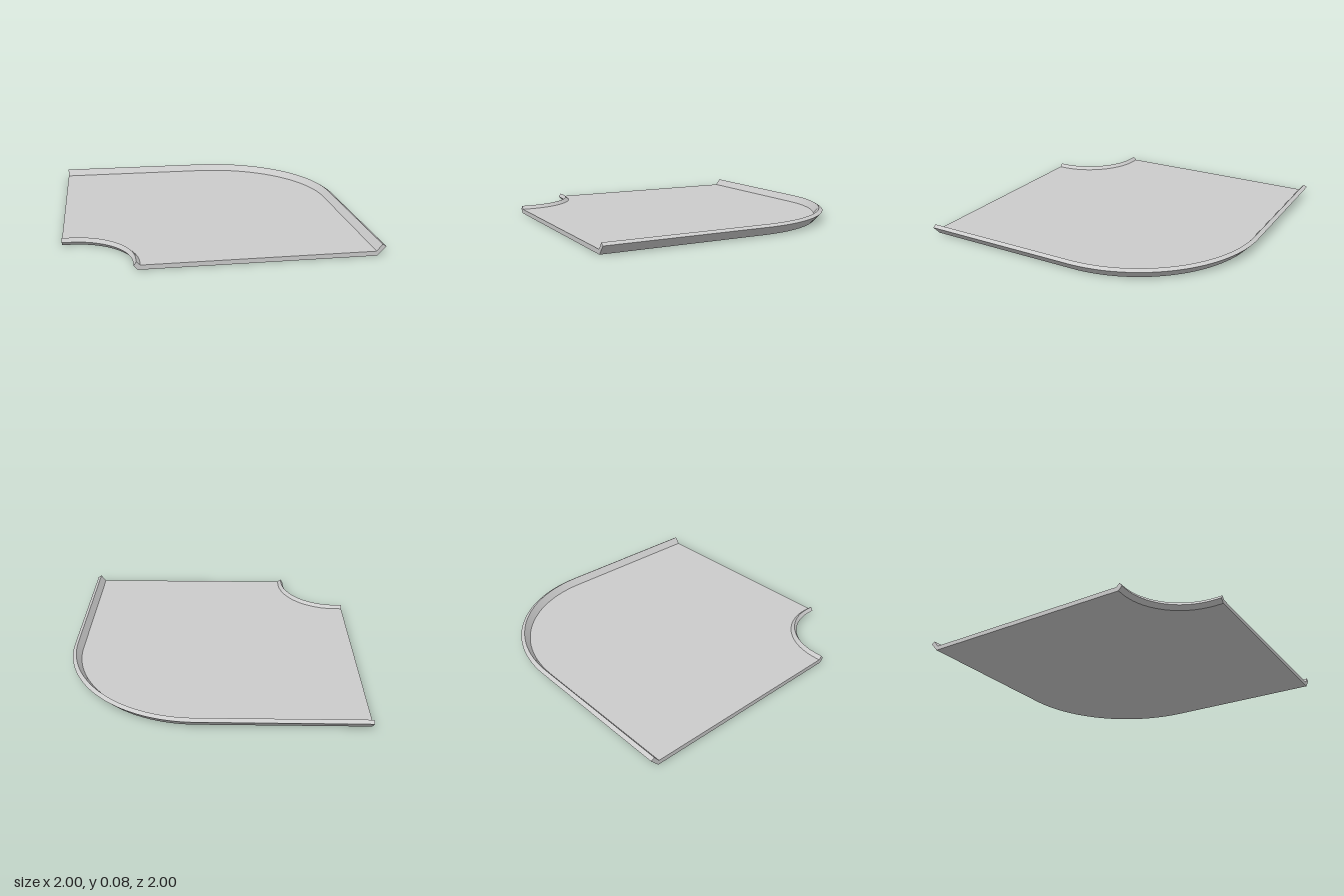
import * as THREE from 'three';

const STEPS = 32;
const material = new THREE.MeshStandardMaterial({ color: 0xcccccc });

// Cross-section as [distance from centre, height, corner centre]
const inner = [[-0.54, 0], [-0.565, 0.027], [-0.548, 0.052], [-0.525, 0.03]].map(p => [...p, -0.95]);
const outer = [[0.94, 0.03], [0.975, 0.075], [1, 0.06], [0.945, 0]].map(p => [...p, 0.1]);

// Straight run, quarter turn, straight run
function cornerPath([d, y, c]) {
  const points = [[-1, y, -d]];
  for (let i = 0; i <= STEPS; i++) {
    const t = (i / STEPS) * Math.PI / 2;
    points.push([c + (d - c) * Math.sin(t), y, -c - (d - c) * Math.cos(t)]);
  }
  points.push([d, y, 1]);
  return points;
}

// Ruled surfaces between neighbouring section points, creased at each one
function sweep(name, section) {
  const positions = [], index = [];
  for (let j = 0; j < section.length - 1; j++) {
    const a = cornerPath(section[j]), b = cornerPath(section[j + 1]);
    const base = positions.length / 3;
    a.forEach((p, i) => positions.push(...p, ...b[i]));
    for (let i = 0; i < a.length - 1; i++) {
      const k = base + i * 2;
      index.push(k, k + 2, k + 1, k + 1, k + 2, k + 3);
    }
  }
  const geometry = new THREE.BufferGeometry();
  geometry.setAttribute('position', new THREE.Float32BufferAttribute(positions, 3));
  geometry.setIndex(index);
  geometry.computeVertexNormals();
  return part(name, geometry);
}

function part(name, geometry) {
  const mesh = new THREE.Mesh(geometry, material);
  mesh.name = name;
  return mesh;
}

// Flat cut face with the full cross-section
function endFace(name, sign) {
  const points = [...inner, ...outer].map(([d, y]) => new THREE.Vector2(sign * d, y));
  return part(name, new THREE.ShapeGeometry(new THREE.Shape(points)));
}

export function createModel() {
  const group = new THREE.Group();
  group.name = 'cornerPiece';

  group.add(sweep('innerRim', inner));
  group.add(sweep('floor', [inner[3], outer[0]]));
  group.add(sweep('outerRim', outer));
  group.add(sweep('underside', [outer[3], inner[0]]));

  const front = endFace('frontEnd', 1);
  front.position.z = 1;
  const side = endFace('rightEnd', -1);
  side.rotation.y = -Math.PI / 2;
  side.position.x = -1;
  group.add(front, side);

  return group;
}
